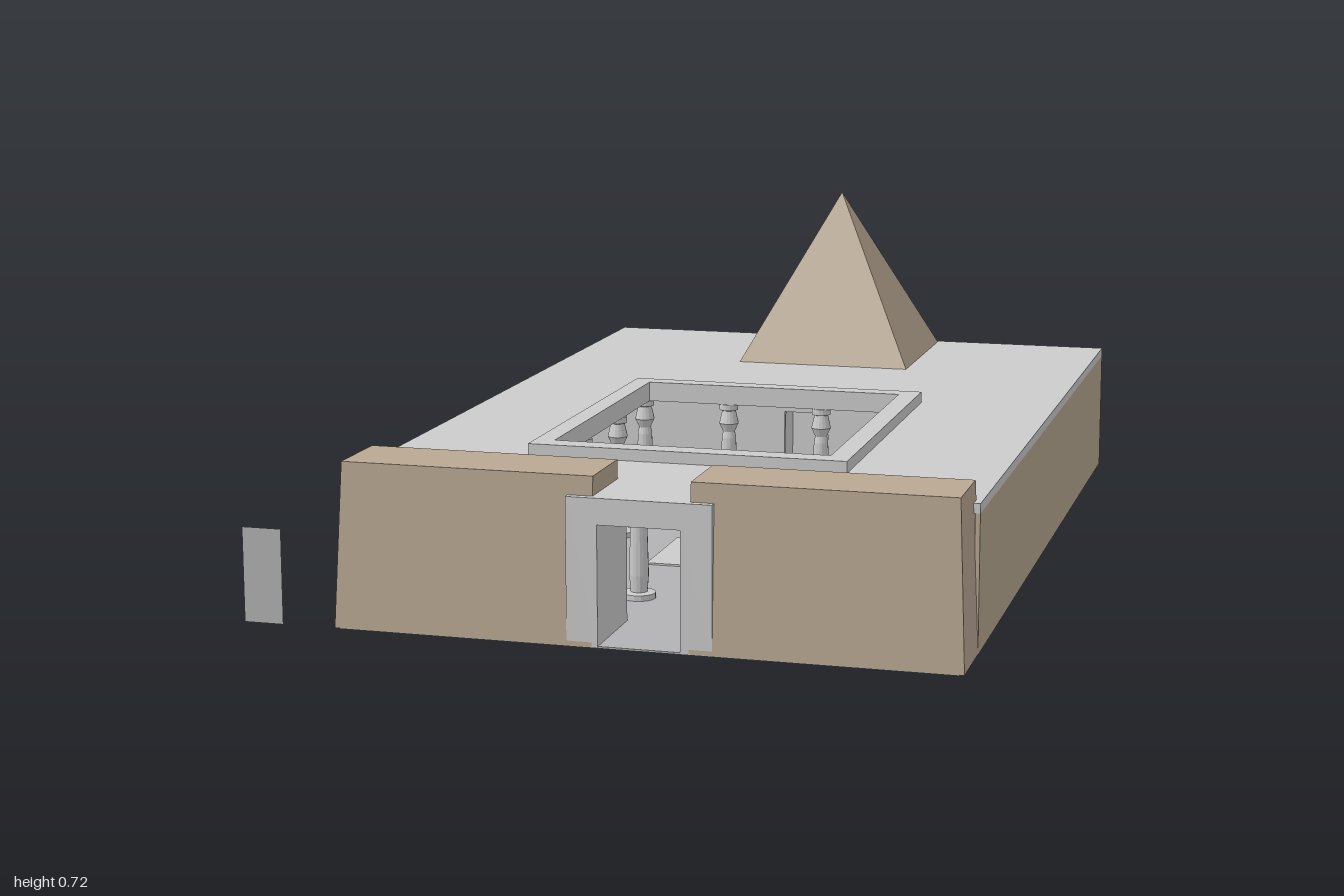
import * as THREE from 'three';

const stone = new THREE.MeshStandardMaterial({ color: 0xb8a792, flatShading: true, side: THREE.DoubleSide });
const grey = new THREE.MeshStandardMaterial({ color: 0xcccccc, side: THREE.DoubleSide });
const paving = new THREE.MeshStandardMaterial({ color: 0xb2b2b4, side: THREE.DoubleSide });

const CX = 0.0975; // axis of the building

export function createModel() {
  const model = new THREE.Group();
  model.name = 'templeTomb';

  const add = (name, geometry, material) => {
    const mesh = new THREE.Mesh(geometry, material);
    mesh.name = name;
    model.add(mesh);
    return mesh;
  };
  // Box given by its limits
  const box = (name, x0, x1, y0, y1, z0, z1, material) => {
    const g = new THREE.BoxGeometry(x1 - x0, y1 - y0, z1 - z0);
    g.translate((x0 + x1) / 2, (y0 + y1) / 2, (z0 + z1) / 2);
    return add(name, g, material);
  };
  const rect = (Type, x0, x1, y0, y1) => new Type([
    new THREE.Vector2(x0, y0), new THREE.Vector2(x1, y0),
    new THREE.Vector2(x1, y1), new THREE.Vector2(x0, y1)]);
  const extrude = (shape, depth) => new THREE.ExtrudeGeometry(shape, { depth, bevelEnabled: false });

  // Flat frame lying in x-z with a rectangular opening
  const flatFrame = (name, o, h, y0, y1) => {
    const shape = rect(THREE.Shape, o[0], o[1], -o[3], -o[2]);
    shape.holes.push(rect(THREE.Path, h[0], h[1], -h[3], -h[2]));
    const g = extrude(shape, y1 - y0);
    g.rotateX(-Math.PI / 2);
    g.translate(0, y0, 0);
    add(name, g, grey);
  };
  // Upright wall with a doorway reaching the ground
  const doorWall = (name, x0, x1, top, dx0, dx1, dTop, z0, z1) => {
    const pts = [[x0, 0], [dx0, 0], [dx0, dTop], [dx1, dTop], [dx1, 0], [x1, 0], [x1, top], [x0, top]];
    const g = extrude(new THREE.Shape(pts.map(p => new THREE.Vector2(...p))), z1 - z0);
    g.translate(0, 0.001, z0);
    add(name, g, grey);
  };

  // Outer walls
  box('backWall', -0.55, 0.745, 0, 0.285, -1, -0.985, stone);
  box('rightWall', -0.55, -0.54, 0, 0.285, -0.985, 0.85, stone);
  box('leftWall', 0.735, 0.745, 0, 0.285, -0.985, 0.85, stone);
  box('rightWallLining', -0.54, -0.53, 0.003, 0.285, -0.45, 0.82, grey);
  box('leftWallLining', 0.725, 0.735, 0.003, 0.285, -0.45, 0.82, grey);

  // Roof slab and raised curb around the courtyard opening
  const opening = [-0.21, 0.39, -0.10, 0.60];
  flatFrame('roof', [-0.55, 0.745, -1, 0.85], opening, 0.285, 0.305);
  flatFrame('courtyardCurb', [-0.253, 0.435, -0.145, 0.65], opening, 0.305, 0.33);

  // Floor and the low slab in the courtyard
  box('floor', -0.54, 0.735, 0, 0.004, -0.47, 0.998, paving);
  box('courtyardSlab', -0.085, 0.305, 0.004, 0.008, 0.10, 0.345, grey);
  for (const x of [-0.008, 0.076, 0.158, 0.24])
    box('slabRib', x - 0.003, x + 0.003, 0.008, 0.011, 0.14, 0.31, grey);

  // Columns under the edge of the opening
  const profile = [[0, 0], [0.036, 0], [0.036, 0.012], [0.018, 0.014], [0.021, 0.05], [0.017, 0.2],
    [0.014, 0.215], [0.023, 0.235], [0.016, 0.265], [0.022, 0.267], [0.022, 0.281], [0, 0.281]]
    .map(p => new THREE.Vector2(...p));
  const columnGeometry = new THREE.LatheGeometry(profile, 16).toNonIndexed();
  columnGeometry.computeVertexNormals();
  const xs = [-0.227, -0.02, 0.203, 0.407], zs = [-0.117, 0.10, 0.36, 0.617];
  xs.forEach((x, i) => zs.forEach((z, j) => {
    if (i % 3 && j % 3) return; // centre stays open
    add('column', columnGeometry, grey).position.set(x, 0.004, z);
  }));

  // Sanctuary behind the hall
  doorWall('hallBackWall', -0.53, 0.725, 0.285, 0.035, 0.145, 0.205, -0.46, -0.445);
  box('sanctuaryFloor', CX - 0.15, CX + 0.15, 0, 0.004, -0.86, -0.56, paving);
  box('sanctuaryPassageFloor', CX - 0.08, CX + 0.08, 0, 0.004, -0.56, -0.47, paving);
  box('sanctuaryBackWall', CX - 0.15, CX + 0.15, 0.004, 0.285, -0.86, -0.85, grey);
  for (const s of [-1, 1]) {
    const wx = CX + s * 0.145;
    box('sanctuarySideWall', wx - 0.005, wx + 0.005, 0.004, 0.285, -0.85, -0.46, grey);
    // Side chambers hanging under the roof
    const bx = CX + s * 0.43;
    box('sideChamber', bx - 0.15, bx + 0.15, 0.11, 0.284, -0.86, -0.50, stone);
  }

  // Gate towers with leaning outer, front and back faces
  for (const s of [-1, 1]) {
    const g = new THREE.BoxGeometry(1, 1, 1);
    const p = g.attributes.position;
    for (let i = 0; i < p.count; i++) {
      const top = p.getY(i) > 0, outer = p.getX(i) * s > 0, front = p.getZ(i) > 0;
      const x = CX + s * (outer ? (top ? 0.632 : 0.6475) : 0.1);
      const z = front ? (top ? 0.982 : 1) : (top ? 0.82 : 0.805);
      p.setXYZ(i, x, top ? 0.345 : 0.002, z);
    }
    g.computeVertexNormals();
    add(s < 0 ? 'rightGateTower' : 'leftGateTower', g, stone);
  }
  doorWall('gateFrame', -0.055, 0.245, 0.304, 0.01, 0.18, 0.25, 0.80, 0.9995);

  // Pyramid on the roof
  const pyramid = new THREE.ConeGeometry(0.213 * Math.SQRT2, 0.412, 4, 1);
  pyramid.rotateY(Math.PI / 4);
  add('pyramid', pyramid, stone).position.set(0.102, 0.305 + 0.206, -0.775);

  // Loose door leaf standing beside the gate
  add('doorLeaf', new THREE.PlaneGeometry(0.085, 0.2), paving).position.set(-0.707, 0.1, 0.998);

  return model;
}
